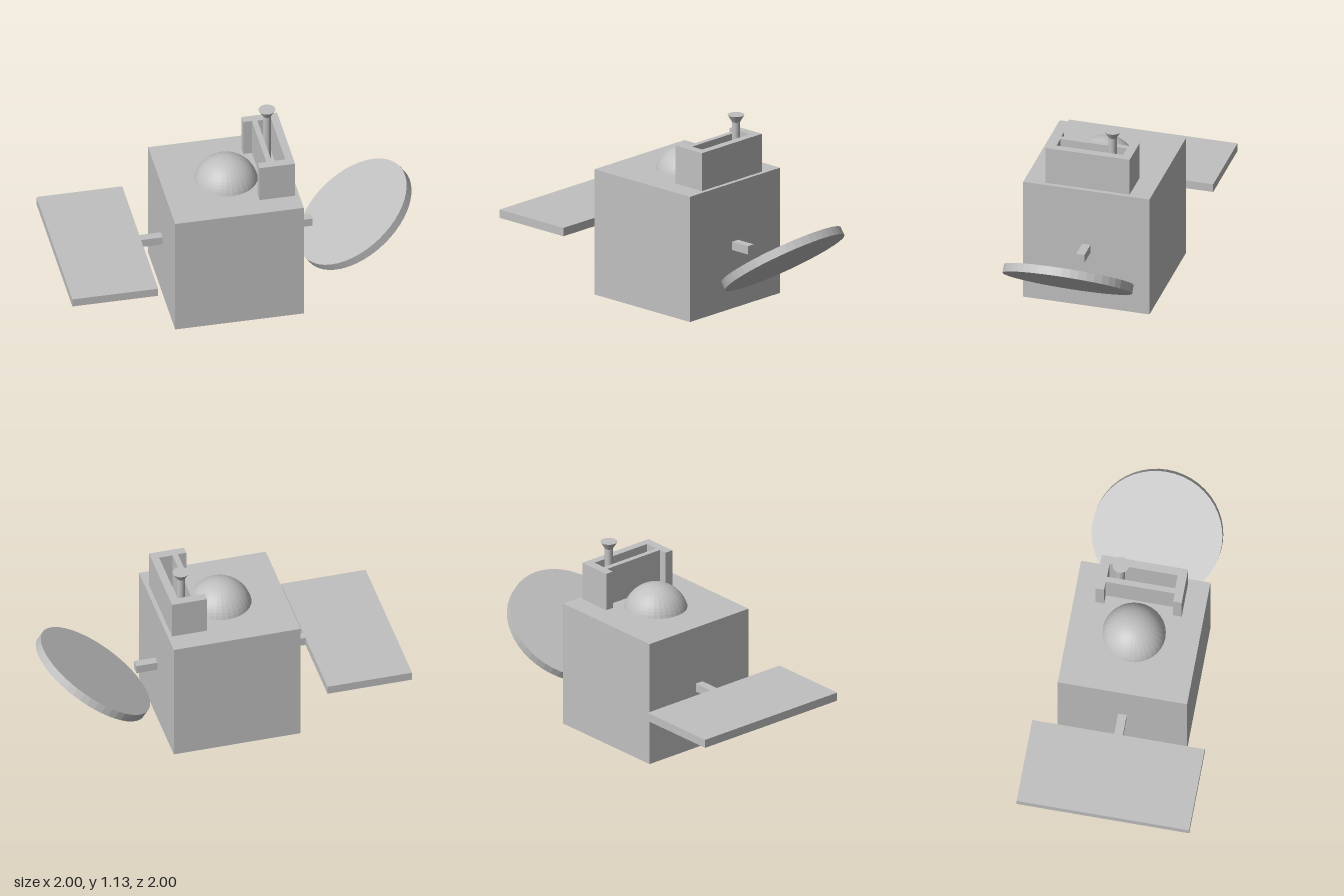
import * as THREE from 'three';

const S = 0.771;      // body cube edge
const T = S / 15;     // common thickness

export function createModel() {
  const grey = new THREE.MeshStandardMaterial({ color: 0xc0c0c0 });
  grey.name = 'satellite grey';
  grey.flatShading = true;

  // Local +x points to the dish, local -x to the panel
  const model = new THREE.Group();
  const craft = new THREE.Group();
  craft.name = 'satellite';
  craft.rotation.y = Math.PI / 4;
  craft.position.set(0.09, 0, -0.097);
  model.add(craft);

  const add = (name, geometry, x, y, z) => {
    const mesh = new THREE.Mesh(geometry, grey);
    mesh.name = name;
    mesh.position.set(x, y, z);
    craft.add(mesh);
    return mesh;
  };

  add('body', new THREE.BoxGeometry(S, S, S), 0, S / 2, 0);

  // Arms on both sides
  const armLength = S / 6;
  for (const [name, side] of [['dishArm', 1], ['panelArm', -1]]) {
    add(name, new THREE.BoxGeometry(armLength, T, T), side * (S + armLength) / 2, S / 2, 0);
  }

  // Flat panel and tilted round dish
  add('panel', new THREE.BoxGeometry(S * 2 / 3, T, S * 4 / 3), -S, S / 2, 0);
  const dish = add('dish', new THREE.CylinderGeometry(S / 2, S / 2, T, 48), S, S / 2, 0);
  dish.rotation.z = THREE.MathUtils.degToRad(35);

  // Dome: upper part of a sphere sunk into the body top
  const domeRadius = S / 4;
  add('dome', new THREE.SphereGeometry(domeRadius, 32, 12, 0, Math.PI * 2, 0, Math.acos(0.049 / domeRadius)),
    0, 0.722, 0);

  // Tower: recessed on the dome side, with an open slot inside
  const u0 = 0.147, u1 = 0.36, half = S / 3, inner = half - T;
  const plan = new THREE.Shape([
    [u0, -half], [u1, -half], [u1, half], [u0, half],
    [u0, inner], [u0 + T, inner], [u0 + T, -inner], [u0, -inner],
  ].map(([x, y]) => new THREE.Vector2(x, y)));
  plan.holes.push(new THREE.Path([
    [0.231, -0.203], [0.231, 0.203], [0.313, 0.203], [0.313, -0.203],
  ].map(([x, y]) => new THREE.Vector2(x, y))));
  const towerGeometry = new THREE.ExtrudeGeometry(plan, { depth: 1.004 - S, bevelEnabled: false });
  towerGeometry.rotateX(-Math.PI / 2);
  add('tower', towerGeometry, 0, S, 0);

  // Antenna standing in the slot, with a flared top
  const stemTop = 1.09, tip = 1.133;
  add('antennaStem', new THREE.CylinderGeometry(0.0245, 0.0245, stemTop - S, 24), 0.272, (stemTop + S) / 2, -0.128);
  add('antennaHorn', new THREE.CylinderGeometry(0.05, 0.0245, tip - stemTop, 24), 0.272, (tip + stemTop) / 2, -0.128);

  return model;
}
